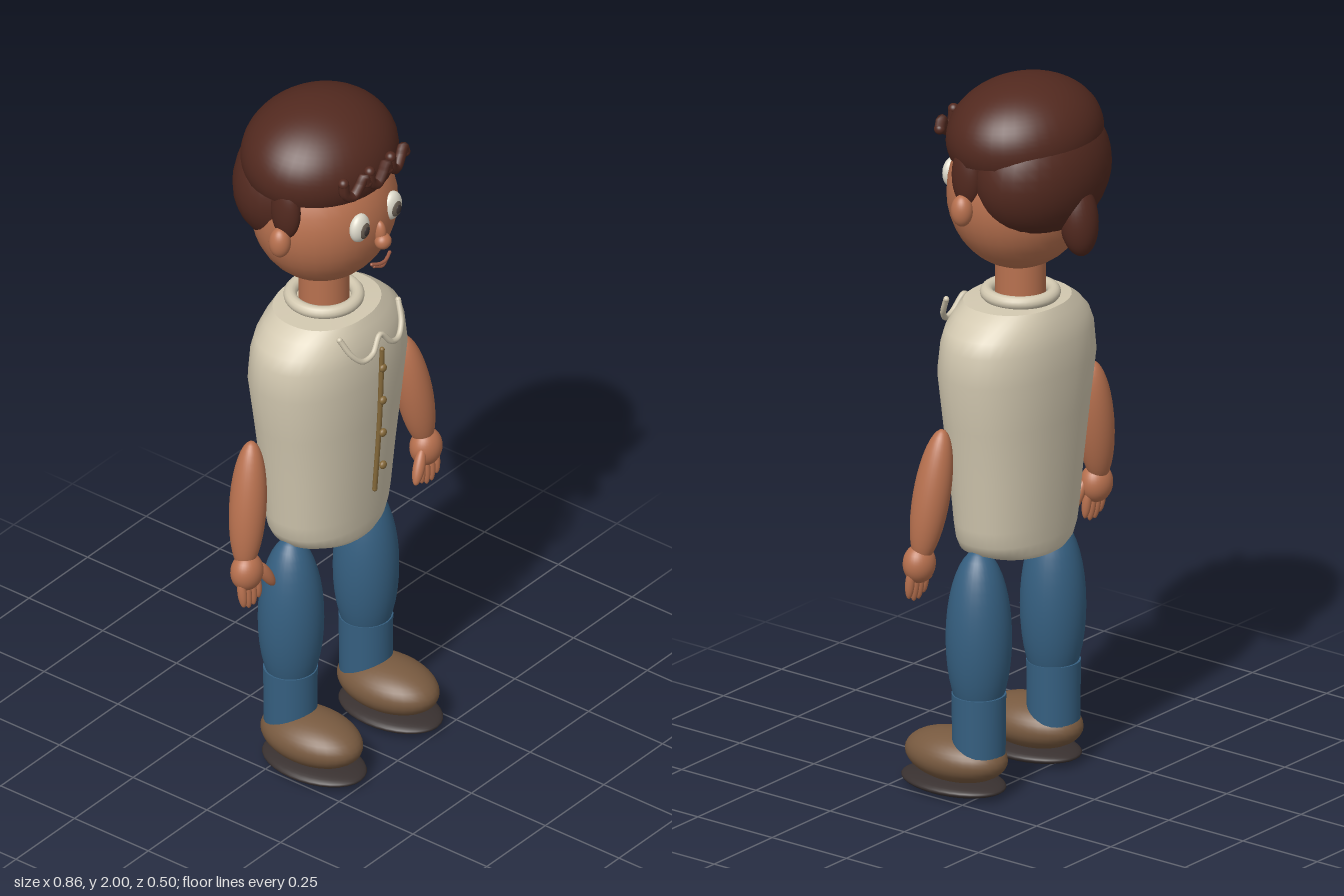
import * as THREE from 'three';

const mat = (name, color, side = THREE.FrontSide) => {
  const m = new THREE.MeshStandardMaterial({ color, side });
  m.name = name;
  return m;
};

// Elliptical cross-sections [y, halfWidth, halfDepth, zCentre] joined from bottom to top
function loft(rows, sides = 40, power = 2.2) {
  const pos = [], idx = [];
  const bend = v => Math.sign(v) * Math.abs(v) ** (2 / power);
  rows.forEach(([y, rx, rz, cz], r) => {
    for (let i = 0; i < sides; i++) {
      const t = (i / sides) * Math.PI * 2;
      pos.push(rx * bend(Math.cos(t)), y, cz + rz * bend(Math.sin(t)));
      if (r === rows.length - 1) continue;
      const a = r * sides + i, b = r * sides + (i + 1) % sides;
      idx.push(a, a + sides, b, b, a + sides, b + sides);
    }
  });
  const g = new THREE.BufferGeometry();
  g.setAttribute('position', new THREE.Float32BufferAttribute(pos, 3));
  g.setIndex(idx);
  g.computeVertexNormals();
  return g;
}

export function createModel() {
  const model = new THREE.Group();
  const skin = mat('skin', 0xb8714f), hair = mat('hair brown', 0x52291f, THREE.DoubleSide);
  const cream = mat('shirt cream', 0xd2c8b0), denim = mat('denim blue', 0x355f80);
  const leather = mat('shoe brown', 0x785a40), dark = mat('dark sole', 0x393130);
  const white = mat('eye white', 0xe0dccd), iris = mat('iris grey', 0x655b50);
  const brass = mat('brass', 0x85693a), lip = mat('lip', 0x9c5a44);

  const add = (name, geo, material, p = [0, 0, 0], parent = model) => {
    const m = new THREE.Mesh(geo, material);
    m.name = name;
    m.position.set(...p);
    parent.add(m);
    return m;
  };
  const ball = (name, material, p, r, parent) => {
    const m = add(name, new THREE.SphereGeometry(1, 32, 20), material, p, parent);
    m.scale.set(...r);
    return m;
  };
  // Ellipsoid stretched between two points
  const limb = (name, material, a, b, rx, rz, parent) => {
    const A = new THREE.Vector3(...a), B = new THREE.Vector3(...b);
    const mid = A.clone().add(B).multiplyScalar(0.5);
    const m = ball(name, material, mid.toArray(), [rx, A.distanceTo(B) / 2, rz], parent);
    m.quaternion.setFromUnitVectors(new THREE.Vector3(0, 1, 0), A.sub(B).normalize());
    return m;
  };
  const tube = (name, material, pts, r, steps = 32) => {
    const curve = new THREE.CatmullRomCurve3(pts.map(p => new THREE.Vector3(...p)));
    const m = add(name, new THREE.TubeGeometry(curve, steps, r, 8), material);
    for (const p of [pts[0], pts[pts.length - 1]]) ball(name + 'End', material, p, [r, r, r]);
    return m;
  };

  // Head and neck
  ball('head', skin, [0, 1.68, 0], [0.208, 0.217, 0.19]);
  add('neck', new THREE.CylinderGeometry(0.068, 0.068, 0.14, 32), skin, [0, 1.43, 0]);

  // Hair: cap, back and bun
  const cap = new THREE.Group();
  cap.name = 'hairCap';
  cap.position.set(0, 1.842, -0.015);
  cap.rotation.x = 0.1;
  model.add(cap);
  const crown = add('crown', new THREE.SphereGeometry(1, 40, 20, 0, Math.PI * 2, 0, Math.PI * 0.58), hair, [0, 0, 0], cap);
  crown.scale.set(0.231, 0.158, 0.197);
  const brim = add('crownUnderside', new THREE.CircleGeometry(0.968, 40), hair, [0, -0.039, 0], cap);
  brim.rotation.x = Math.PI / 2;
  brim.scale.set(0.231, 0.197, 1);
  ball('backHair', hair, [0, 1.755, -0.075], [0.222, 0.19, 0.157]);
  const bun = ball('hairBun', hair, [0, 1.64, -0.196], [0.055, 0.105, 0.052]);
  bun.rotation.x = 0.12;

  // Curls across the forehead
  [-0.09, 0, 0.09].forEach((cx, k) => {
    const pts = [[-0.042, 0.03], [-0.037, -0.005], [-0.012, -0.022], [0.012, 0.002], [0.026, 0.022], [0.038, 0]];
    tube('curl' + k, hair, pts.map(([x, y]) => {
      const X = cx + x;
      return [X, 1.845 + y, 0.19 - X * X * 1.1];
    }), 0.015, 28);
  });

  // Nose and lips
  ball('noseBridge', skin, [0, 1.66, 0.188], [0.016, 0.036, 0.02]);
  ball('noseTip', skin, [0, 1.637, 0.2], [0.024, 0.023, 0.022]);
  tube('upperLip', lip, [[-0.038, 1.578, 0.192], [-0.015, 1.572, 0.2], [0, 1.57, 0.201], [0.015, 1.572, 0.2], [0.038, 1.578, 0.192]], 0.005);
  tube('lowerLip', lip, [[-0.028, 1.567, 0.192], [0, 1.558, 0.198], [0.028, 1.567, 0.192]], 0.005);

  // Shirt body; doubled rows keep the hem and shoulder rims sharp
  add('shirt', loft([
    [0.67, 0, 0, 0.012], [0.67, 0.14, 0.122, 0.013], [0.67, 0.14, 0.122, 0.013],
    [0.685, 0.175, 0.127, 0.013], [0.715, 0.192, 0.13, 0.013], [0.76, 0.2, 0.134, 0.013],
    [0.9, 0.214, 0.145, 0.013], [1.05, 0.235, 0.157, 0.013], [1.19, 0.255, 0.168, 0.012],
    [1.27, 0.246, 0.162, 0.011], [1.31, 0.228, 0.155, 0.011], [1.345, 0.192, 0.142, 0.01],
    [1.37, 0.155, 0.13, 0.01], [1.37, 0.155, 0.13, 0.01], [1.378, 0, 0, 0.01],
  ]), cream);
  const band = add('neckBand', new THREE.TorusGeometry(0.09, 0.018, 14, 40), cream, [0, 1.386, 0]);
  band.rotation.x = Math.PI / 2;
  const half = [[0.125, 1.365, 0.152], [0.105, 1.315, 0.178], [0.075, 1.288, 0.192], [0.04, 1.295, 0.197]];
  tube('collarEdge', cream, [...half, [0, 1.335, 0.19], ...half.slice().reverse().map(([x, y, z]) => [-x, y, z])], 0.008, 60);

  // Button placket
  tube('placket', brass, [[0, 1.29, 0.197], [0, 1.06, 0.188], [0, 0.835, 0.172]], 0.007, 20);
  for (let i = 0; i < 4; i++) ball('button' + i, brass, [0, 1.232 - i * 0.103, 0.2], [0.012, 0.012, 0.009]);

  // Mirrored parts
  for (const [s, side] of [[1, 'left'], [-1, 'right']]) {
    const at = (x, y, z) => [s * x, y, z];

    // Eye, ear and sideburn
    ball(side + 'EyeWhite', white, at(0.069, 1.705, 0.175), [0.034, 0.042, 0.022]);
    ball(side + 'Iris', iris, at(0.068, 1.702, 0.19), [0.02, 0.025, 0.011]);
    ball(side + 'Pupil', dark, at(0.068, 1.702, 0.197), [0.011, 0.014, 0.007]);
    ball(side + 'Ear', skin, at(0.22, 1.675, 0.025), [0.029, 0.044, 0.03]);
    ball(side + 'Sideburn', hair, at(0.197, 1.765, 0.027), [0.03, 0.085, 0.045]);

    // Arm and hand
    const arm = new THREE.Group();
    arm.name = side + 'Arm';
    model.add(arm);
    limb('forearm', skin, at(0.322, 1.088, 0.01), at(0.386, 0.72, 0.036), 0.05, 0.05, arm);
    ball('palm', skin, at(0.382, 0.718, 0.042), [0.048, 0.054, 0.042], arm);
    for (let i = 0; i < 4; i++) {
      const x = 0.348 + i * 0.021;
      limb('finger' + i, skin, at(x + 0.003, 0.71, 0.045), at(x, i === 0 || i === 3 ? 0.622 : 0.61, 0.055), 0.012, 0.013, arm);
    }
    limb('thumb', skin, at(0.352, 0.735, 0.055), at(0.302, 0.645, 0.07), 0.017, 0.016, arm);

    // Trouser leg
    ball(side + 'Thigh', denim, at(0.16, 0.447, 0.015), [0.09, 0.25, 0.088]);
    add(side + 'TrouserCuff', new THREE.CylinderGeometry(0.073, 0.071, 0.2, 32), denim, at(0.161, 0.19, 0.014));

    // Shoe
    ball(side + 'Shoe', leather, at(0.163, 0.1, 0.088), [0.101, 0.07, 0.155]);
    ball(side + 'Sole', dark, at(0.163, 0.024, 0.097), [0.104, 0.024, 0.158]);
  }
  return model;
}
